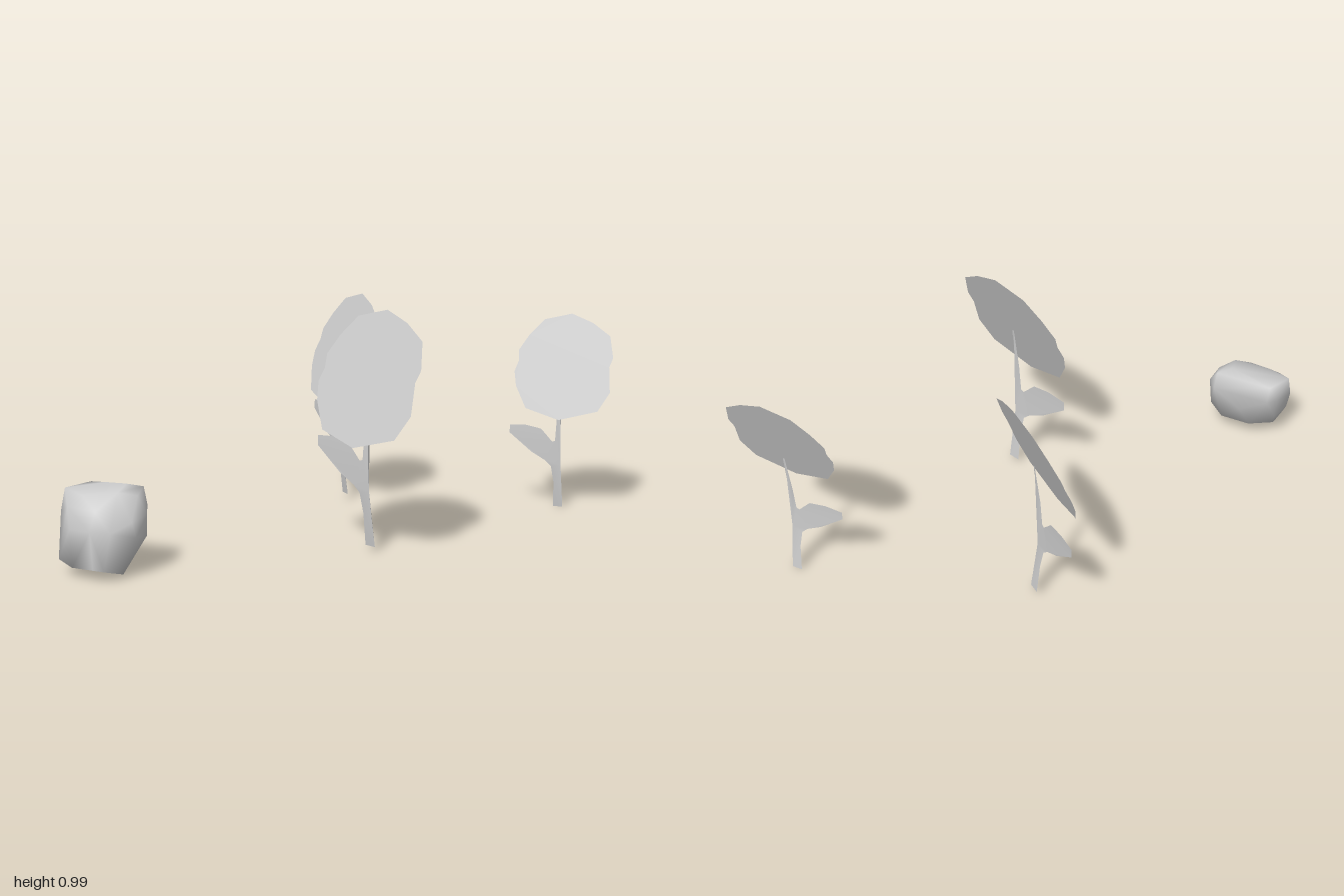
import * as THREE from 'three';
import { mergeVertices } from 'three/addons/utils/BufferGeometryUtils.js';
import { ConvexGeometry } from 'three/addons/geometries/ConvexGeometry.js';

const flat = new THREE.MeshStandardMaterial({ color: 0xcccccc, side: THREE.DoubleSide });
const solid = new THREE.MeshStandardMaterial({ color: 0xcccccc });

function flatShape(points) {
  return new THREE.ShapeGeometry(new THREE.Shape(points.map(([x, y]) => new THREE.Vector2(x, y))));
}

// Ragged round flower head
const headOutline = [
  [0.006, 0.24], [-0.117, 0.207], [-0.178, 0.133], [-0.218, 0.06], [-0.212, 0.01], [-0.226, -0.04],
  [-0.21, -0.107], [-0.152, -0.205], [0.006, -0.247], [0.177, -0.195], [0.222, -0.107],
  [0.205, 0.006], [0.217, 0.05], [0.192, 0.147], [0.107, 0.203],
];

// Stem with one leaf, as a single outline
const stemOutline = [
  [-0.022, 0], [0.022, 0], [0.019, 0.11], [0.015, 0.2], [0.012, 0.31], [0.009, 0.42], [0.004, 0.578],
  [-0.004, 0.578], [-0.009, 0.41], [-0.013, 0.31], [-0.026, 0.305], [-0.08, 0.36], [-0.155, 0.372],
  [-0.228, 0.366], [-0.228, 0.33], [-0.123, 0.25], [-0.057, 0.215], [-0.03, 0.19], [-0.018, 0.115],
];

function stemGeometry() {
  const geo = flatShape(stemOutline);
  const p = geo.attributes.position;
  // Slight forward bow
  for (let i = 0; i < p.count; i++) p.setZ(i, 0.026 * Math.sin((Math.PI * p.getY(i)) / 0.578));
  geo.computeVertexNormals();
  return geo;
}

function flower(headGeo, stemGeo, { pos, yaw, scale, headX, headY }) {
  const group = new THREE.Group();
  group.name = 'flower';
  const stem = new THREE.Mesh(stemGeo, flat);
  stem.name = 'stemAndLeaf';
  const head = new THREE.Mesh(headGeo, flat);
  head.name = 'flowerHead';
  head.position.set(headX, headY, 0.008);
  head.rotation.x = THREE.MathUtils.degToRad(-21);
  group.add(stem, head);
  group.position.set(...pos);
  group.rotation.y = THREE.MathUtils.degToRad(yaw);
  group.scale.setScalar(scale);
  return group;
}

// Boulder corners, from the top ring down
const rockPoints = [
  [-0.816, 0.32, 0.86], [-0.775, 0.325, 0.745], [-0.68, 0.338, 0.77], [-0.58, 0.345, 0.775],
  [-0.53, 0.33, 0.73], [-0.51, 0.31, 0.8], [-0.56, 0.33, 0.86], [-0.7, 0.31, 0.9],
  [-0.824, 0.23, 0.88], [-0.8, 0.24, 0.785], [-0.526, 0.255, 0.715], [-0.77, 0.25, 0.735],
  [-0.474, 0.237, 0.79], [-0.49, 0.22, 0.87], [-0.6, 0.27, 0.955], [-0.74, 0.27, 0.945],
  [-0.478, 0.16, 0.86], [-0.53, 0.19, 0.955], [-0.595, 0.2, 0.997], [-0.71, 0.19, 0.975],
  [-0.807, 0.14, 0.9], [-0.65, 0.18, 0.722], [-0.79, 0.14, 0.8], [-0.5, 0.14, 0.76],
  [-0.775, 0.06, 0.965], [-0.7, 0.04, 0.98], [-0.595, 0.045, 0.987], [-0.542, 0.045, 0.984],
  [-0.515, 0.018, 0.9], [-0.654, 0.018, 0.86], [-0.767, 0.057, 0.86], [-0.55, 0.07, 0.775],
  [-0.68, 0.07, 0.78],
];

function rock() {
  let geo = new ConvexGeometry(rockPoints.map((p) => new THREE.Vector3(...p)));
  geo.deleteAttribute('normal');
  geo = mergeVertices(geo);
  geo.computeVertexNormals();
  const mesh = new THREE.Mesh(geo, solid);
  mesh.name = 'rock';
  return mesh;
}

export function createModel() {
  const model = new THREE.Group();
  model.name = 'flowersAndRock';
  const headGeo = flatShape(headOutline);
  const stemGeo = stemGeometry();
  const flowers = [
    { pos: [0.151, 0.02, 0.11], yaw: -15, scale: 1.18, headX: 0, headY: 0.597 },
    { pos: [-0.335, 0.03, -0.577], yaw: -33, scale: 1.1, headX: 0, headY: 0.616 },
    { pos: [0.58, 0, -0.92], yaw: 4, scale: 1, headX: 0.014, headY: 0.652 },
  ];
  for (const f of flowers) model.add(flower(headGeo, stemGeo, f));
  model.add(rock());
  return model;
}
